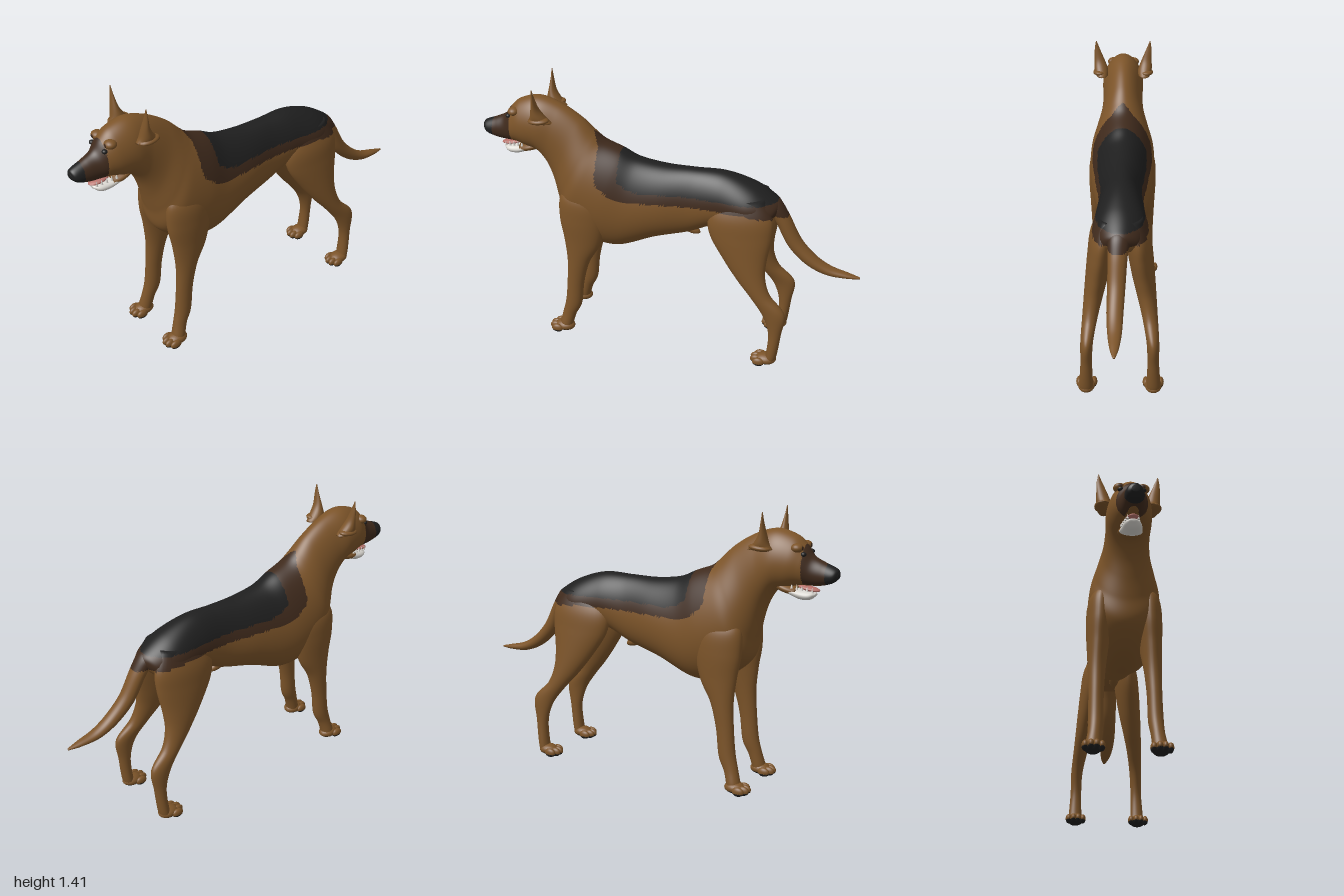
import * as THREE from 'three';

const mat = (name, color) => {
  const m = new THREE.MeshStandardMaterial({ color });
  m.name = name;
  return m;
};

export function createModel() {
  const dog = new THREE.Group();
  dog.name = 'dog';
  const coat = mat('tan coat', 0x7c5429);
  const dark = mat('dark brown fur', 0x3f2a1c);
  const black = mat('black fur', 0x1f1f1f);
  const white = mat('white', 0xd9d6d0);
  const pink = mat('pink tongue', 0xb8736c);
  const furs = [coat, dark, black];

  // Fur pattern by position: 0 tan, 1 dark brown, 2 black
  const pattern = (x, y, z) => {
    if (y < 0.016) return 2; // soles
    if (z > 0.7) { // face mask
      if (z > 0.94) return 2;
      return z > 0.832 && y > 1.065 && Math.abs(x) < 0.078 ? 1 : 0;
    }
    const curve = (start) => 3.5 * Math.max(0, z - start) ** 2;
    if (z < 0.25 && z > -0.56 && y > 0.895 + curve(0.13)) return 2;
    const tip = 0.36 + 0.04 * Math.max(0, 1 - Math.abs(x) / 0.06);
    const hem = z < -0.4 ? 0.845 + (z + 0.4) * 0.12 : 0.845;
    return z < tip && z > -0.625 && y > hem + curve(0.2) ? 1 : 0;
  };

  // Sort triangles into groups by fur pattern
  const paint = (g) => {
    const p = g.attributes.position, idx = g.index.array, sets = [[], [], []];
    for (let i = 0; i < idx.length; i += 3) {
      const t = [idx[i], idx[i + 1], idx[i + 2]];
      const mid = (k) => (p['get' + k](t[0]) + p['get' + k](t[1]) + p['get' + k](t[2])) / 3;
      sets[pattern(mid('X'), mid('Y'), mid('Z'))].push(...t);
    }
    g.setIndex(sets.flat());
    let start = 0;
    sets.forEach((s, i) => {
      if (s.length) g.addGroup(start, s.length, i);
      start += s.length;
    });
    return g;
  };

  const add = (name, g, material) => {
    const m = new THREE.Mesh(material ? g : paint(g), material || furs);
    m.name = name;
    dog.add(m);
    return m;
  };

  // Smooth loft; section = [zA, yA, zB, yB, centreX, halfWidth], A and B being opposite rim points
  const loft = (sections, rows, cols, side = 1, egg = 0) => {
    const spline = (f) => new THREE.CatmullRomCurve3(sections.map(f), false, 'catmullrom', 0.5);
    const cA = spline((s) => new THREE.Vector3(0, s[1], s[0]));
    const cB = spline((s) => new THREE.Vector3(0, s[3], s[2]));
    const cW = spline((s) => new THREE.Vector3(s[4] * side, s[5], 0));
    const pos = [], index = [];
    for (let i = 0; i <= rows; i++) {
      const a = cA.getPoint(i / rows), b = cB.getPoint(i / rows), w = cW.getPoint(i / rows);
      for (let j = 0; j < cols; j++) {
        const t = (j / cols) * Math.PI * 2, c = Math.cos(t);
        pos.push(w.x + w.y * Math.sin(t) * (1 - egg * c),
          (a.y + b.y) / 2 + (c * (a.y - b.y)) / 2, (a.z + b.z) / 2 + (c * (a.z - b.z)) / 2);
        if (i === rows) continue;
        const k = i * cols + j, n = i * cols + ((j + 1) % cols);
        index.push(k, n, k + cols, n, n + cols, k + cols);
      }
    }
    // End caps
    for (const [i, t] of [[0, 0], [rows, 1]]) {
      const a = cA.getPoint(t), b = cB.getPoint(t), centre = pos.length / 3;
      pos.push(cW.getPoint(t).x, (a.y + b.y) / 2, (a.z + b.z) / 2);
      for (let j = 0; j < cols; j++) {
        const k = i * cols + j, n = i * cols + ((j + 1) % cols);
        index.push(...(t ? [k, n, centre] : [n, k, centre]));
      }
    }
    const g = new THREE.BufferGeometry();
    g.setAttribute('position', new THREE.Float32BufferAttribute(pos, 3));
    g.setIndex(index);
    g.computeVertexNormals();
    return g;
  };

  const blob = (x, y, z, rx, ry, rz, tilt = 0) =>
    new THREE.SphereGeometry(1, 20, 14).scale(rx, ry, rz).rotateX(tilt).translate(x, y, z);

  // Head, neck and torso in one skin, nose to rump
  add('headAndBody', loft([
    [0.998, 1.13, 0.993, 1.1, 0, 0.018],
    [0.985, 1.15, 0.965, 1.078, 0, 0.04],
    [0.92, 1.177, 0.91, 1.062, 0, 0.05],
    [0.87, 1.203, 0.86, 1.058, 0, 0.06],
    [0.835, 1.25, 0.8, 1.055, 0, 0.082],
    [0.78, 1.295, 0.75, 1.04, 0, 0.1],
    [0.68, 1.318, 0.69, 1.02, 0, 0.11],
    [0.57, 1.285, 0.645, 0.955, 0, 0.106],
    [0.464, 1.22, 0.615, 0.87, 0, 0.115],
    [0.39, 1.15, 0.59, 0.77, 0, 0.143],
    [0.34, 1.11, 0.56, 0.65, 0, 0.168],
    [0.25, 1.075, 0.43, 0.55, 0, 0.173],
    [0.16, 1.035, 0.27, 0.522, 0, 0.16],
    [0.02, 1.015, 0.07, 0.6, 0, 0.138],
    [-0.13, 1.015, -0.11, 0.655, 0, 0.115],
    [-0.29, 1.015, -0.25, 0.72, 0, 0.118],
    [-0.44, 0.97, -0.4, 0.74, 0, 0.13],
    [-0.55, 0.905, -0.5, 0.76, 0, 0.1],
    [-0.585, 0.87, -0.55, 0.8, 0, 0.04],
  ], 216, 96, 1, 0.13));

  add('tail', loft([
    [-0.52, 0.915, -0.49, 0.84, 0, 0.055],
    [-0.575, 0.885, -0.53, 0.82, 0.005, 0.052],
    [-0.625, 0.81, -0.56, 0.77, 0.01, 0.047],
    [-0.69, 0.69, -0.625, 0.65, 0.015, 0.043],
    [-0.77, 0.605, -0.72, 0.56, 0.02, 0.04],
    [-0.85, 0.555, -0.825, 0.512, 0.02, 0.034],
    [-0.94, 0.53, -0.93, 0.503, 0.02, 0.022],
    [-1, 0.515, -1, 0.506, 0.02, 0.006],
  ], 70, 32));

  // Lower jaw with white chin, tongue and teeth
  add('jaw', loft([
    [0.8, 1.045, 0.79, 1.0, 0, 0.05],
    [0.75, 1.06, 0.74, 1.012, 0, 0.06],
    [0.69, 1.08, 0.68, 1.03, 0, 0.05],
  ], 12, 24), coat);
  add('chin', loft([
    [0.888, 1.022, 0.885, 1.008, 0, 0.015],
    [0.87, 1.03, 0.855, 0.988, 0, 0.04],
    [0.82, 1.038, 0.81, 0.988, 0, 0.05],
    [0.77, 1.05, 0.765, 1.005, 0, 0.056],
  ], 16, 24), white);
  add('tongue', blob(0, 1.043, 0.85, 0.032, 0.012, 0.055, 0.15), pink);

  for (const s of [1, -1]) {
    const label = s > 0 ? 'left' : 'right';
    for (let i = 0; i < 5; i++) {
      const tooth = new THREE.ConeGeometry(0.007, 0.026, 8);
      tooth.translate(s * (0.025 + 0.005 * i), 1.04 + 0.004 * i, 0.875 - 0.024 * i);
      add(label + 'Tooth', tooth, white);
    }
    add(label + 'Eye', blob(s * 0.054, 1.212, 0.837, 0.014, 0.011, 0.013), black);
    add(label + 'Brow', blob(s * 0.055, 1.24, 0.805, 0.032, 0.022, 0.03));

    // Upright pointed ear with a flared base
    add(label + 'Ear', loft([
      [0.662, 1.408, 0.666, 1.408, 0.146, 0.002],
      [0.655, 1.36, 0.67, 1.36, 0.14, 0.015],
      [0.64, 1.3, 0.68, 1.3, 0.128, 0.028],
      [0.61, 1.255, 0.69, 1.255, 0.12, 0.037],
      [0.58, 1.225, 0.705, 1.23, 0.115, 0.034],
    ], 24, 24, s));
    add(label + 'EarFold', blob(s * 0.128, 1.238, 0.645, 0.036, 0.017, 0.055, 0.1));

    add(label + 'FrontLeg', loft([
      [0.33, 0.9, 0.5, 0.9, 0.09, 0.04],
      [0.31, 0.8, 0.555, 0.82, 0.115, 0.06],
      [0.31, 0.7, 0.56, 0.7, 0.122, 0.062],
      [0.345, 0.56, 0.54, 0.58, 0.128, 0.051],
      [0.405, 0.45, 0.527, 0.45, 0.133, 0.042],
      [0.44, 0.32, 0.533, 0.32, 0.136, 0.036],
      [0.458, 0.18, 0.545, 0.2, 0.138, 0.036],
      [0.49, 0.11, 0.563, 0.12, 0.143, 0.033],
      [0.508, 0.05, 0.58, 0.055, 0.15, 0.036],
      [0.51, 0.015, 0.59, 0.015, 0.153, 0.036],
    ], 72, 36, s));

    add(label + 'HindLeg', loft([
      [-0.5, 0.92, -0.27, 0.9, 0.06, 0.05],
      [-0.55, 0.82, -0.22, 0.8, 0.085, 0.062],
      [-0.552, 0.72, -0.235, 0.7, 0.098, 0.062],
      [-0.535, 0.6, -0.31, 0.58, 0.115, 0.056],
      [-0.533, 0.505, -0.39, 0.475, 0.132, 0.047],
      [-0.565, 0.41, -0.465, 0.39, 0.148, 0.038],
      [-0.648, 0.315, -0.535, 0.295, 0.162, 0.031],
      [-0.637, 0.19, -0.57, 0.19, 0.165, 0.029],
      [-0.622, 0.06, -0.565, 0.07, 0.168, 0.034],
      [-0.61, 0.015, -0.55, 0.015, 0.168, 0.034],
    ], 72, 36, s));

    // Paws with four toes each
    for (const [name, x, z] of [['FrontPaw', 0.153, 0.555], ['HindPaw', 0.168, -0.565]]) {
      add(label + name, blob(s * x, 0.03, z, 0.043, 0.03, 0.055));
      for (let i = 0; i < 4; i++) {
        const d = i - 1.5, reach = Math.abs(d) > 1 ? 0.034 : 0.05;
        add(label + name + 'Toe', blob(s * x + d * 0.025, 0.024, z + reach, 0.016, 0.024, 0.032));
      }
    }
  }

  // Belly sheath
  add('sheath', blob(0, 0.66, -0.11, 0.024, 0.022, 0.055, -0.35));
  return dog;
}
